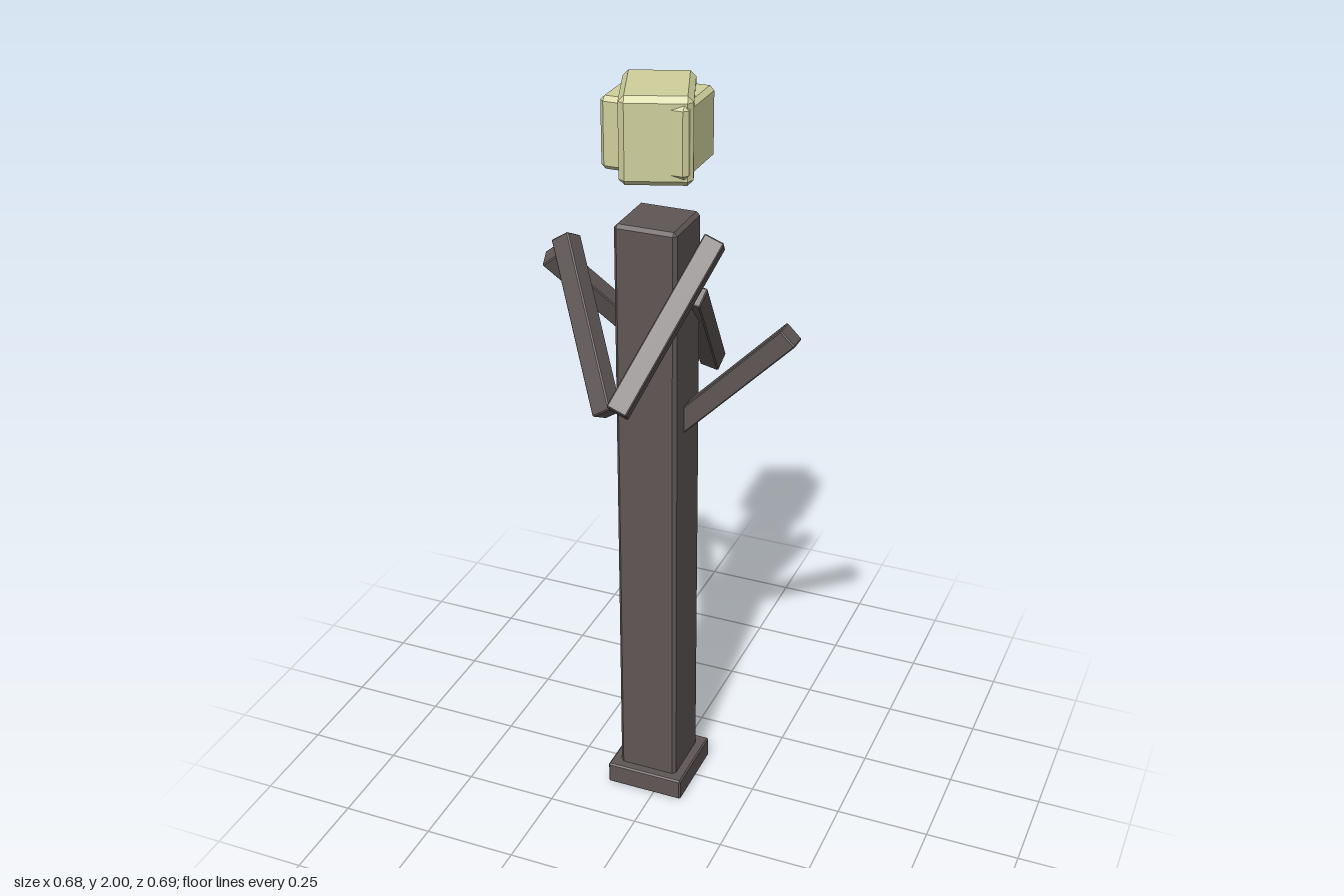
import * as THREE from 'three';
import { ConvexGeometry } from 'three/addons/geometries/ConvexGeometry.js';

// Box with a single flat chamfer c along every edge, centred on the origin
function chamferBox(w, h, d, c) {
  const points = [];
  for (const sx of [-1, 1]) for (const sy of [-1, 1]) for (const sz of [-1, 1]) {
    for (let axis = 0; axis < 3; axis++) {
      const inset = [c, c, c];
      inset[axis] = 0;
      points.push(new THREE.Vector3(
        sx * (w / 2 - inset[0]), sy * (h / 2 - inset[1]), sz * (d / 2 - inset[2])));
    }
  }
  return new ConvexGeometry(points);
}

export function createModel() {
  const group = new THREE.Group();
  const wood = new THREE.MeshStandardMaterial({ color: 0x5e5655 });
  wood.name = 'dark wood';
  const glow = new THREE.MeshStandardMaterial({ color: 0xcfcf9c });
  glow.name = 'pale yellow';

  const cx = -0.027, cz = 0.012;
  function add(name, geometry, material, x, y, z) {
    const mesh = new THREE.Mesh(geometry, material);
    mesh.name = name;
    mesh.position.set(x, y, z);
    group.add(mesh);
    return mesh;
  }

  // Post and its foot
  add('foot', chamferBox(0.215, 0.062, 0.215, 0.004), wood, cx, 0.036 - 0.005, cz);
  add('post', chamferBox(0.163, 1.63, 0.163, 0.009), wood, cx, 0.852, cz);

  // Branches: square bars between a lower and an upper end
  const branches = [
    ['rightBranch', [0.0, 1.09, 0.01], [0.32, 1.418, 0.01]],
    ['backBranch', [-0.008, 1.14, -0.325], [0.06, 1.47, -0.01]],
    ['backLeftBranch', [-0.055, 1.2, -0.172], [-0.315, 1.525, 0.008]],
    ['frontLeftBranch', [-0.055, 1.25, 0.26], [-0.268, 1.58, 0.018]],
    ['frontRightBranch', [0.0, 1.295, 0.325], [0.127, 1.635, 0.024]],
  ];
  for (const [name, lower, upper] of branches) {
    const a = new THREE.Vector3(...lower), b = new THREE.Vector3(...upper);
    const dir = b.clone().sub(a);
    const length = dir.length();
    dir.normalize();
    const mid = a.add(b).multiplyScalar(0.5);
    const bar = add(name, chamferBox(0.053, length, 0.053, 0.003), wood, mid.x, mid.y, mid.z);
    bar.rotation.set(Math.asin(dir.z), 0, Math.atan2(-dir.x, dir.y), 'ZXY');
  }

  // Floating lamp: two crossed chamfered blocks
  add('lampBlock', chamferBox(0.22, 0.178, 0.18, 0.011), glow, cx + 0.002, 1.893, cz);
  const turned = add('turnedLampBlock', chamferBox(0.174, 0.215, 0.217, 0.014), glow, cx + 0.002, 1.8925, cz);
  turned.rotation.y = THREE.MathUtils.degToRad(20);

  return group;
}
